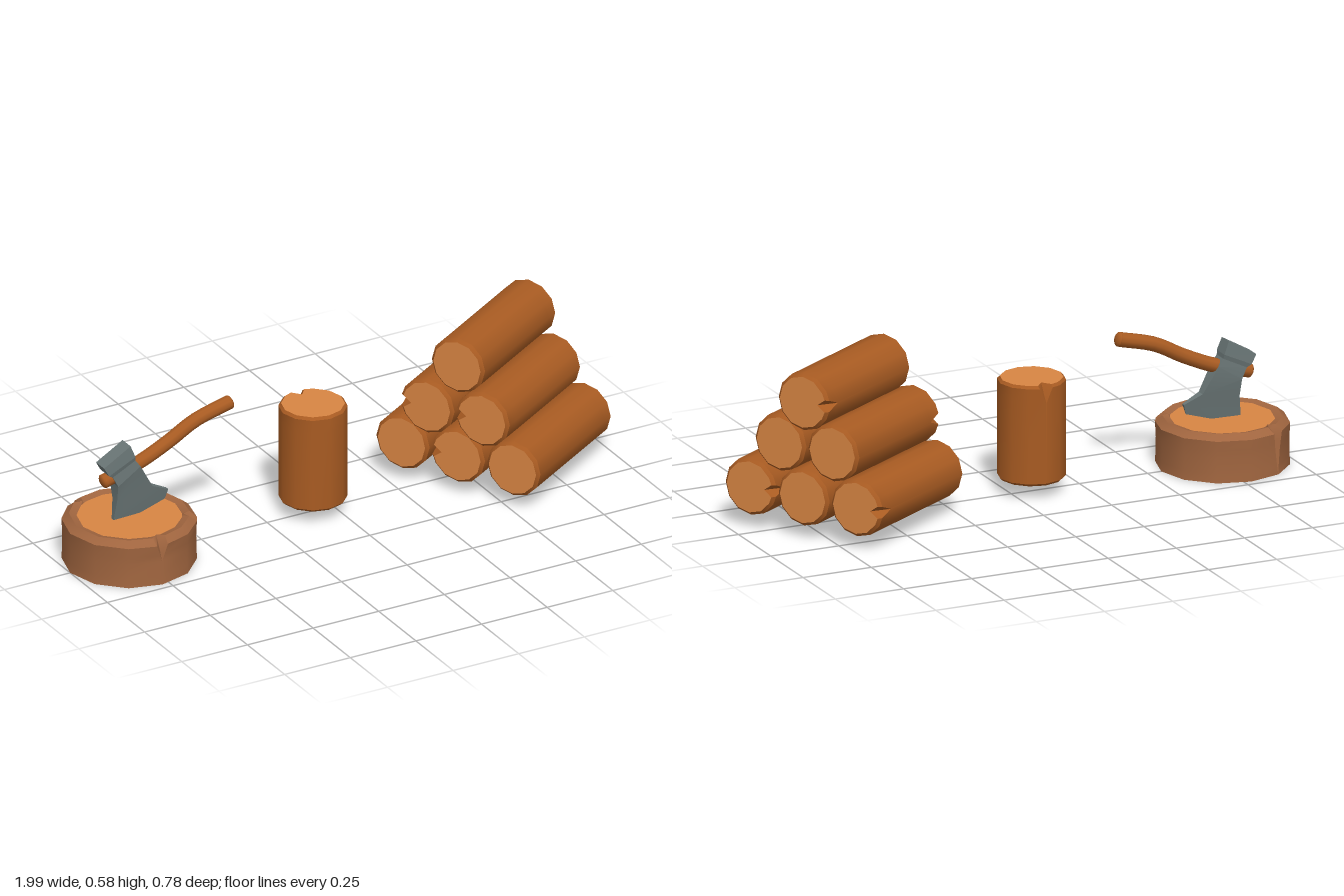
import * as THREE from 'three';
import { toCreasedNormals } from 'three/addons/utils/BufferGeometryUtils.js';

const mat = (name, color, side = THREE.FrontSide) => {
  const m = new THREE.MeshStandardMaterial({ color, side });
  m.name = name;
  return m;
};

function geometryFrom(positions, index, crease) {
  const g = new THREE.BufferGeometry();
  g.setAttribute('position', new THREE.Float32BufferAttribute(positions, 3));
  g.setIndex(index);
  return toCreasedNormals(g, crease);
}

// Twelve-sided round of wood from [radius, height] rows, with V-shaped splits
// running down from the top. Split: { angle, half, depth, end }.
function roundWood(rows, splits) {
  const top = Math.max(...rows.map(r => r[1]));
  const R = Math.max(...rows.map(r => r[0]));
  const columns = [];
  for (let i = 0; i < 12; i++) {
    const a = i * Math.PI / 6;
    const split = splits.find(s => Math.round(s.angle / 30) === i);
    if (split) for (const k of [-1, 0, 1]) columns.push({ a, k, split });
    else columns.push({ a });
  }
  const n = columns.length, pos = [];
  for (const [r, y] of rows) {
    for (const { a, k, split } of columns) {
      let angle = a, radius = r;
      if (split) {
        const t = THREE.MathUtils.clamp((y - split.end) / (top - split.end), 0, 1);
        angle += k * split.half * Math.max(t, 0.05);
        if (k === 0) radius = Math.min(r, R - split.depth * t);
      }
      pos.push(radius * Math.cos(angle), y, radius * Math.sin(angle));
    }
  }
  const side = [];
  for (let i = 0; i < rows.length - 1; i++) {
    for (let j = 0; j < n; j++) {
      const a = i * n + j, b = i * n + (j + 1) % n;
      side.push(a, a + n, b, b, a + n, b + n);
    }
  }
  const cap = (row, up) => {
    const p = [0, rows[row][1], 0, ...pos.slice(row * n * 3, (row + 1) * n * 3)];
    const idx = [];
    for (let j = 0; j < n; j++) {
      const a = 1 + j, b = 1 + (j + 1) % n;
      idx.push(0, up ? b : a, up ? a : b);
    }
    return geometryFrom(p, idx, 0.3);
  };
  return { side: geometryFrom(pos, side, 0.65), top: cap(rows.length - 1, true), bottom: cap(0, false) };
}

export function createModel() {
  const bark = mat('bark brown', 0xa85b22);
  const cutWood = mat('cut wood', 0xd88543, THREE.DoubleSide);
  const stumpBark = mat('stump bark', 0xa0653f, THREE.DoubleSide);
  const steel = mat('grey steel', 0x6a7676);

  const model = new THREE.Group();
  const add = (parent, name, geometry, material) => {
    const m = new THREE.Mesh(geometry, material);
    m.name = name;
    parent.add(m);
    return m;
  };
  const group = (parent, name) => {
    const g = new THREE.Group();
    g.name = name;
    parent.add(g);
    return g;
  };

  // Chopping stump, hollow underneath
  const stump = group(model, 'stump');
  stump.position.x = -0.775;
  const stumpParts = roundWood(
    [[0.225, 0], [0.223, 0.03], [0.222, 0.085], [0.223, 0.11], [0.225, 0.145], [0.2, 0.165], [0.175, 0.158]],
    [
      { angle: 90, half: 0.12, depth: 0.045, end: 0.085 },
      { angle: 30, half: 0.1, depth: 0.045, end: 0.11 },
      { angle: 240, half: 0.11, depth: 0.045, end: 0 },
    ]);
  add(stump, 'stumpBark', stumpParts.side, stumpBark);
  add(stump, 'stumpTop', stumpParts.top, cutWood);

  // Logs: bevelled ends and one split at the top end
  const logParts = (r, h, bevel) => roundWood(
    [[r - bevel, -h], [r, -h + bevel], [r, h - 0.06], [r, h - bevel], [r - bevel, h]],
    [{ angle: 270, half: 0.24, depth: 0.042, end: h - 0.06 }]);
  const addLog = (parent, name, parts) => {
    const log = group(parent, name);
    add(log, 'logBark', parts.side, bark);
    add(log, 'logTopEnd', parts.top, cutWood);
    add(log, 'logBottomEnd', parts.bottom, cutWood);
    return log;
  };

  // Standing log
  addLog(model, 'standingLog', logParts(0.115, 0.175, 0.009)).position.set(-0.075, 0.225, 0);

  // Stacked pile: [x, y, z, end that carries the split]
  const pile = group(model, 'logPile');
  pile.position.x = 0.613;
  pile.rotation.y = THREE.MathUtils.degToRad(32);
  const pileLog = logParts(0.1, 0.255, 0.011);
  [
    [0, 0.145, -0.209, 1], [0, 0.145, 0, -1], [0, 0.145, 0.209, 1],
    [-0.02, 0.312, -0.104, -1], [-0.02, 0.312, 0.104, -1],
    [0, 0.478, 0, 1],
  ].forEach(([x, y, z, end], i) => {
    const log = addLog(pile, 'pileLog' + (i + 1), pileLog);
    log.position.set(x, y, z);
    log.rotation.z = -end * Math.PI / 2;
  });

  // Axe head lofted from poll to cutting edge: [left x, y, right x, y, half thickness]
  const axe = group(model, 'axe');
  const sections = [
    [-0.886, 0.37, -0.785, 0.428, 0.027],
    [-0.868, 0.338, -0.768, 0.385, 0.03],
    [-0.852, 0.328, -0.766, 0.37, 0.026],
    [-0.833, 0.29, -0.748, 0.345, 0.029],
    [-0.83, 0.23, -0.695, 0.253, 0.016],
    [-0.838, 0.16, -0.63, 0.222, 0.007],
    [-0.84, 0.125, -0.64, 0.187, 0.001],
  ];
  const pos = [], idx = [];
  for (const [lx, ly, rx, ry, t] of sections) {
    pos.push(lx, ly, t, rx, ry, t, rx, ry, -t, lx, ly, -t);
  }
  for (let i = 0; i < sections.length - 1; i++) {
    for (let j = 0; j < 4; j++) {
      const a = i * 4 + j, b = i * 4 + (j + 1) % 4;
      idx.push(a, a + 4, b, b, a + 4, b + 4);
    }
  }
  const e = (sections.length - 1) * 4;
  idx.push(0, 1, 2, 0, 2, 3, e, e + 2, e + 1, e, e + 3, e + 2);
  add(axe, 'axeHead', geometryFrom(pos, idx, 0.2), steel);

  // Curved axe handle with rounded ends
  const path = new THREE.CatmullRomCurve3([
    [-0.872, 0.308], [-0.74, 0.345], [-0.63, 0.393], [-0.525, 0.448], [-0.395, 0.483],
  ].map(([x, y]) => new THREE.Vector3(x, y, 0)));
  add(axe, 'axeHandle', new THREE.TubeGeometry(path, 16, 0.025, 10), bark);
  for (const u of [0, 1]) {
    const tip = add(axe, 'handleTip', new THREE.SphereGeometry(0.025, 10, 8), bark);
    const dir = path.getTangentAt(u);
    tip.position.copy(path.getPointAt(u));
    tip.rotation.z = Math.atan2(dir.y, dir.x);
    tip.scale.x = 0.5;
  }

  return model;
}
